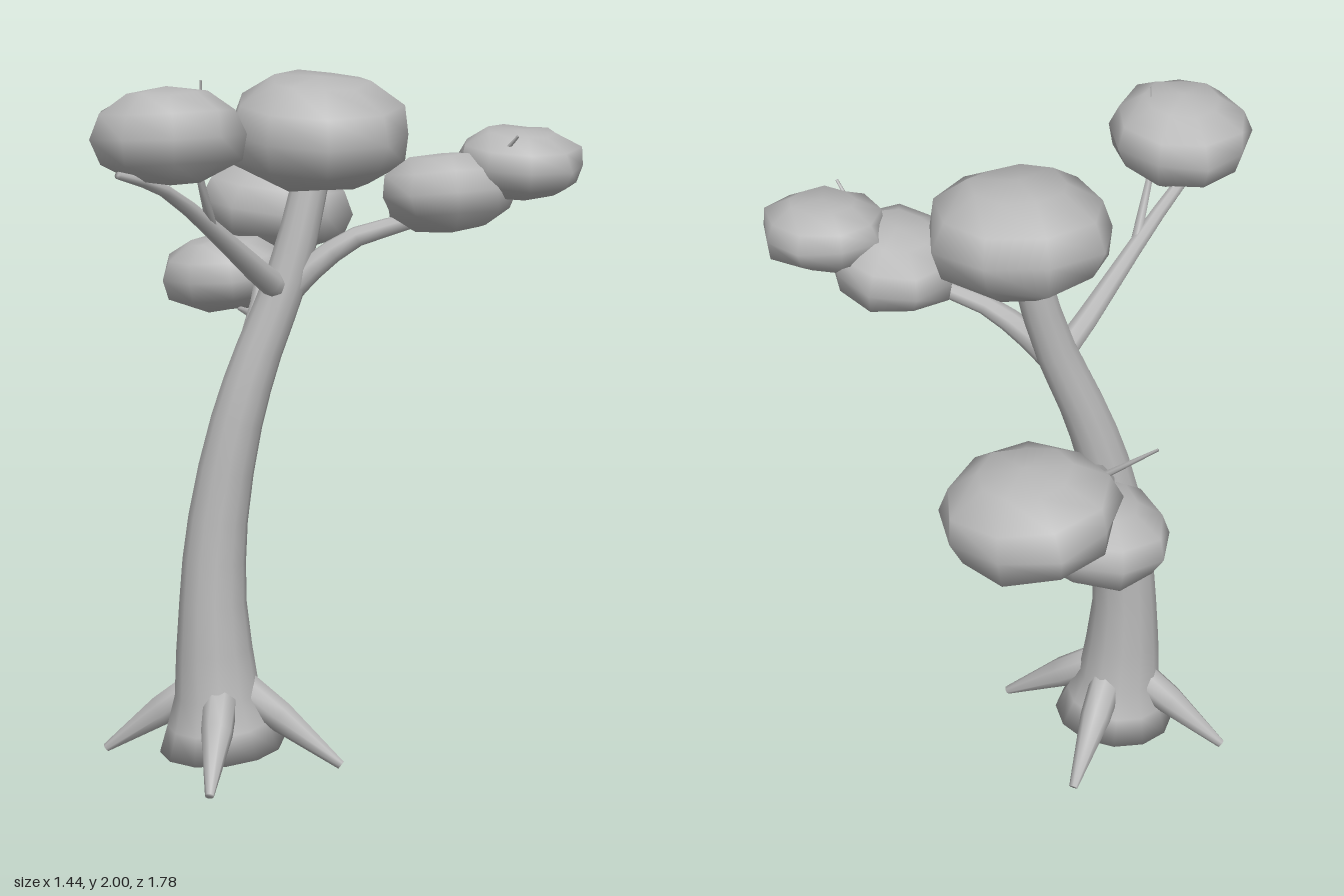
import * as THREE from 'three';
import { mergeVertices } from 'three/addons/utils/BufferGeometryUtils.js';

// Round limb lofted along sections [x, y, z, radius], capped at both ends.
function limbGeometry(sections, sides, stepsPerSection) {
  const curve = new THREE.CatmullRomCurve3(sections.map(([x, y, z]) => new THREE.Vector3(x, y, z)));
  const steps = (sections.length - 1) * stepsPerSection;
  const up = new THREE.Vector3(0, 1, 0);
  const turn = new THREE.Quaternion();
  const position = [];
  const index = [];
  for (let i = 0; i <= steps; i++) {
    const t = i / steps;
    const s = Math.min(Math.floor(i / stepsPerSection), sections.length - 2);
    const radius = THREE.MathUtils.lerp(sections[s][3], sections[s + 1][3], i / stepsPerSection - s);
    const centre = curve.getPoint(t);
    turn.setFromUnitVectors(up, curve.getTangent(t));
    for (let j = 0; j < sides; j++) {
      const a = (j / sides) * Math.PI * 2;
      const p = new THREE.Vector3(Math.cos(a) * radius, 0, -Math.sin(a) * radius);
      p.applyQuaternion(turn).add(centre);
      position.push(p.x, p.y, p.z);
      if (i < steps) {
        const b = i * sides + j;
        const c = i * sides + ((j + 1) % sides);
        index.push(b, c, b + sides, c, c + sides, b + sides);
      }
    }
  }
  // end caps
  const last = steps * sides;
  const start = position.length / 3;
  position.push(...sections[0].slice(0, 3), ...sections[sections.length - 1].slice(0, 3));
  for (let j = 0; j < sides; j++) {
    const k = (j + 1) % sides;
    index.push(start, k, j, start + 1, last + j, last + k);
  }
  const geometry = new THREE.BufferGeometry();
  geometry.setAttribute('position', new THREE.Float32BufferAttribute(position, 3));
  geometry.setIndex(index);
  geometry.computeVertexNormals();
  return geometry;
}

// Coarse leaf clump: a flattened ball, slightly boxy, with gently uneven corners.
function clumpGeometry(rx, ry, rz, seed) {
  let geometry = new THREE.SphereGeometry(1, 9, 6);
  geometry.deleteAttribute('uv');
  geometry.deleteAttribute('normal');
  geometry = mergeVertices(geometry, 1e-4);
  const p = geometry.attributes.position;
  const v = new THREE.Vector3();
  for (let i = 0; i < p.count; i++) {
    v.fromBufferAttribute(p, i);
    const flat = Math.hypot(v.x, v.z);
    const boxy = 1 / Math.pow(Math.pow(flat, 2.5) + Math.pow(Math.abs(v.y), 2.5), 0.4);
    const uneven = 1 + 0.04 * Math.sin(i * 2.3 + seed * 1.7);
    v.multiplyScalar(boxy * uneven);
    p.setXYZ(i, v.x * rx, v.y * ry, v.z * rz);
  }
  geometry.computeVertexNormals();
  return geometry;
}

export function createModel() {
  const tree = new THREE.Group();
  tree.name = 'tree';
  const grey = new THREE.MeshStandardMaterial({ color: 0xb8b8b8 });
  grey.name = 'plain grey';

  const add = (name, geometry) => {
    const mesh = new THREE.Mesh(geometry, grey);
    mesh.name = name;
    tree.add(mesh);
    return mesh;
  };

  // leaning trunk with flared foot
  add('trunk', limbGeometry([
    [-0.2, 0.05, 0.275, 0.18],
    [-0.21, 0.21, 0.285, 0.122],
    [-0.22, 0.48, 0.287, 0.096],
    [-0.21, 0.72, 0.27, 0.085],
    [-0.165, 1.0, 0.238, 0.074],
    [-0.115, 1.2, 0.195, 0.066],
    [-0.055, 1.4, 0.14, 0.06],
    [-0.01, 1.65, 0.085, 0.052],
    [0.01, 1.82, 0.06, 0.035],
  ], 12, 2));

  // four tapering roots
  const roots = [
    [[-0.27, 0.22, 0.29], [-0.54, 0.015, 0.345]],
    [[-0.14, 0.23, 0.265], [0.15, 0.02, 0.22]],
    [[-0.17, 0.22, 0.34], [-0.08, 0.02, 0.6]],
    [[-0.21, 0.23, 0.22], [-0.26, 0.02, -0.07]],
  ];
  for (const [top, tip] of roots) {
    const mid = top.map((c, i) => c * 0.62 + tip[i] * 0.38);
    add('root', limbGeometry([[...top, 0.05], [...mid, 0.046], [...tip, 0.013]], 8, 1));
  }

  // branches
  add('backBranch', limbGeometry([
    [-0.17, 0.9, 0.24, 0.045],
    [-0.21, 1.02, 0.12, 0.043],
    [-0.275, 1.17, -0.09, 0.034],
    [-0.37, 1.3, -0.37, 0.025],
    [-0.47, 1.37, -0.5, 0.015],
  ], 8, 2));
  add('frontBranch', limbGeometry([
    [-0.06, 1.36, 0.15, 0.038],
    [-0.085, 1.44, 0.27, 0.034],
    [-0.12, 1.58, 0.47, 0.025],
    [-0.155, 1.71, 0.68, 0.018],
    [-0.18, 1.775, 0.89, 0.01],
  ], 8, 2));
  add('leftBranch', limbGeometry([
    [-0.06, 1.35, 0.145, 0.042],
    [0.01, 1.43, 0.115, 0.038],
    [0.13, 1.52, 0.07, 0.029],
    [0.28, 1.57, 0.02, 0.023],
    [0.42, 1.66, -0.03, 0.015],
  ], 8, 2));

  // thin twigs, some poking through the leaves
  const twigs = [
    [[-0.29, 1.2, -0.15, 0.017], [-0.36, 1.21, -0.26, 0.013], [-0.45, 1.2, -0.37, 0.007]],
    [[-0.37, 1.3, -0.37, 0.016], [-0.48, 1.41, -0.385, 0.011], [-0.655, 1.55, -0.345, 0.004]],
    [[-0.115, 1.6, 0.49, 0.016], [-0.095, 1.73, 0.59, 0.011], [-0.065, 2.0, 0.643, 0.003]],
    [[0.42, 1.66, -0.03, 0.014], [0.5, 1.73, -0.01, 0.009], [0.58, 1.815, 0.01, 0.004]],
  ];
  for (const twig of twigs) add('twig', limbGeometry(twig, 6, 1));

  // leaf clumps: centre, radii, lean about x and z
  const clumps = [
    ['crownLeaves', [0, 1.805, 0.04], [0.26, 0.155, 0.26], 0.08, -0.06],
    ['frontLeaves', [-0.14, 1.855, 0.685], [0.205, 0.125, 0.195], -0.05, 0.06],
    ['innerLeftLeaves', [0.36, 1.645, -0.03], [0.19, 0.11, 0.185], -0.08, 0.12],
    ['outerLeftLeaves', [0.54, 1.728, -0.115], [0.18, 0.095, 0.17], 0.06, -0.06],
    ['lowerBackLeaves', [-0.525, 1.295, -0.43], [0.2, 0.11, 0.185], 0.05, 0.08],
    ['upperBackLeaves', [-0.465, 1.475, -0.665], [0.235, 0.135, 0.23], -0.06, -0.1],
  ];
  clumps.forEach(([name, centre, radii, leanX, leanZ], i) => {
    const mesh = add(name, clumpGeometry(...radii, i));
    mesh.position.set(...centre);
    mesh.rotation.set(leanX, 0, leanZ);
  });

  return tree;
}
